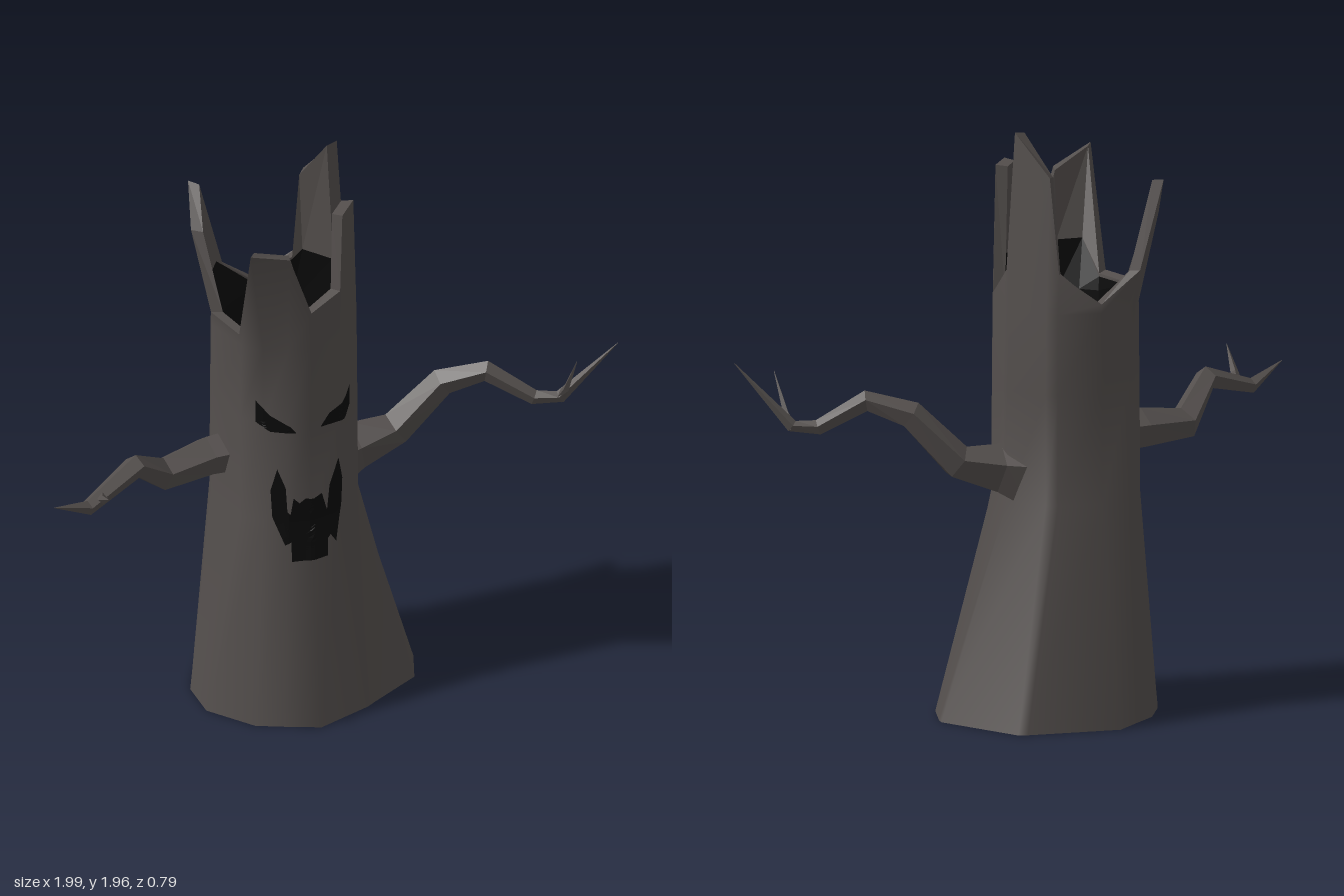
import * as THREE from 'three';

const bark = new THREE.MeshStandardMaterial({ color: 0x544f4d, side: THREE.DoubleSide });
bark.name = 'barkGrey';
const black = new THREE.MeshStandardMaterial({ color: 0x0a0a0a, side: THREE.DoubleSide });
black.name = 'hollowBlack';

const V = (x, y, z) => new THREE.Vector3(x, y, z);

// Skin between successive closed rings of points
function loft(rings, flat = false) {
  const n = rings[0].length, index = [];
  for (let r = 0; r < rings.length - 1; r++) {
    for (let i = 0; i < n; i++) {
      const j = (i + 1) % n, a = r * n, b = a + n;
      index.push(a + i, b + i, a + j, b + i, b + j, a + j);
    }
  }
  let g = new THREE.BufferGeometry().setFromPoints(rings.flat());
  g.setIndex(index);
  if (flat) g = g.toNonIndexed();
  g.computeVertexNormals();
  return g;
}

function add(group, name, geometry, material) {
  const m = new THREE.Mesh(geometry, material);
  m.name = name;
  group.add(m);
  return m;
}

// One column per entry: broken top edge (x, y, z), then root (x, z)
const COLUMNS = [
  [0.13, 1.96, -0.09, 0.38, -0.06],
  [0.15, 1.50, -0.07, 0.375, -0.03],
  [0.15, 1.40, 0.04, 0.33, 0.10],
  [0.13, 1.82, 0.065, 0.28, 0.13],
  [0.06, 1.82, 0.15, 0.15, 0.21],
  [0.045, 1.55, 0.17, 0.12, 0.23],
  [-0.07, 1.51, 0.21, -0.07, 0.305],
  [-0.16, 1.75, 0.25, -0.18, 0.26],
  [-0.31, 1.81, 0.285, -0.27, 0.22],
  [-0.285, 1.42, 0.11, -0.385, 0.07],
  [-0.32, 1.42, -0.06, -0.385, -0.08],
  [-0.345, 1.67, -0.18, -0.35, -0.16],
  [-0.32, 1.80, -0.275, -0.28, -0.27],
  [-0.24, 1.50, -0.265, -0.20, -0.33],
  [-0.10, 1.40, -0.27, -0.11, -0.40],
  [0.03, 1.50, -0.22, 0.20, -0.35],
  [0.05, 1.82, -0.19, 0.23, -0.34],
];
const CX = -0.077, CZ = -0.035;

// Point on the upper trunk in line with a column
function trunkPoint(c, y, k = 1) {
  const a = Math.atan2(c[2] - CZ, c[0] - CX);
  return V(CX + 0.245 * k * Math.cos(a), y, CZ + 0.24 * k * Math.sin(a));
}

function buildTrunk(group) {
  const ring = (f) => COLUMNS.map(f);
  const top = ring((c) => V(c[0], c[1], c[2]));
  const inner = ring((c) => {
    const d = V(CX - c[0], 0, CZ - c[2]).setLength(0.04);
    return V(c[0], c[1] - 0.005, c[2]).add(d);
  });
  const low = ring((c) => trunkPoint(c, 1.36, 0.84));
  // Inside of each splinter stays bark down to about 1.52
  const change = inner.map((p, i) => {
    const y = p.y > 1.57 ? 1.52 : p.y - 0.01;
    return p.clone().lerp(low[i], (p.y - y) / (p.y - 1.36));
  });
  const deep = ring((c) => trunkPoint(c, 1.1, 0.84));
  const floor = ring(() => V(CX, 1.1, CZ));

  const trunk = add(group, 'trunk', loft([
    ring((c) => V(c[3], 0, c[4])),
    ring((c) => trunkPoint(c, 0.73)),
    ring((c) => trunkPoint(c, 1.1, 0.99)),
    ring((c) => trunkPoint(c, 1.37, 0.98)),
    top,
  ]), bark);
  add(group, 'brokenRim', loft([top, inner], true), bark);
  add(group, 'splinterInsides', loft([inner, change], true), bark);
  add(group, 'hollow', loft([change, low, deep, floor], true), black);
  return trunk;
}

// Tapered crooked limb; each entry is x, y, z, radius
function limb(group, name, path, sides = 5) {
  const pts = path.map((p) => V(p[0], p[1], p[2]));
  const rings = pts.map((p, i) => {
    const t = pts[Math.min(i + 1, pts.length - 1)].clone().sub(pts[Math.max(i - 1, 0)]).normalize();
    const side = t.clone().cross(V(0, 1, 0)).normalize();
    const up = side.clone().cross(t);
    return Array.from({ length: sides }, (_, k) => {
      const a = (k / sides) * Math.PI * 2 + Math.PI / 2;
      return p.clone()
        .addScaledVector(side, path[i][3] * Math.cos(a))
        .addScaledVector(up, path[i][3] * Math.sin(a));
    });
  });
  return add(group, name, loft(rings, true), bark);
}

// Painted shape, finely divided and laid on the front of the trunk
function decal(group, name, outline, trunk) {
  const pts = outline.map((p) => new THREE.Vector2(p[0], p[1]));
  const ray = new THREE.Raycaster();
  const out = [];
  const lay = (p) => {
    ray.set(V(p.x, p.y, 1), V(0, 0, -1));
    const hit = ray.intersectObject(trunk)[0];
    return V(p.x, p.y, (hit ? hit.point.z : 0.15) + 0.007);
  };
  const split = (a, b, c, depth) => {
    if (depth === 0) { out.push(lay(a), lay(b), lay(c)); return; }
    const mid = (p, q) => p.clone().add(q).multiplyScalar(0.5);
    const ab = mid(a, b), bc = mid(b, c), ca = mid(c, a);
    for (const t of [[a, ab, ca], [ab, b, bc], [ca, bc, c], [ab, bc, ca]]) split(...t, depth - 1);
  };
  if (THREE.ShapeUtils.isClockWise(pts)) pts.reverse();
  for (const [a, b, c] of THREE.ShapeUtils.triangulateShape(pts, [])) split(pts[a], pts[b], pts[c], 3);
  const g = new THREE.BufferGeometry().setFromPoints(out);
  g.computeVertexNormals();
  add(group, name, g, black);
}

export function createModel() {
  const model = new THREE.Group();
  model.name = 'hauntedTree';

  const trunk = buildTrunk(model);
  trunk.updateMatrixWorld(true);

  // Branches
  limb(model, 'leftBranch', [
    [0.08, 0.81, -0.055, 0.13], [0.18, 0.83, -0.05, 0.085], [0.32, 0.865, -0.05, 0.06],
    [0.47, 1.03, -0.01, 0.048], [0.60, 1.075, 0.05, 0.036], [0.74, 0.985, 0.12, 0.026],
    [0.82, 0.99, 0.155, 0.022], [0.99, 1.20, 0.235, 0.001],
  ]);
  limb(model, 'leftTwig', [[0.815, 0.98, 0.15, 0.018], [0.83, 1.03, 0.18, 0.012], [0.845, 1.16, 0.24, 0.001]], 4);
  limb(model, 'rightBranch', [
    [-0.22, 0.91, -0.03, 0.075], [-0.35, 0.91, -0.02, 0.068], [-0.53, 0.90, 0.03, 0.055],
    [-0.66, 1.015, 0.14, 0.04], [-0.86, 0.95, 0.235, 0.026], [-1.0, 1.01, 0.295, 0.001],
  ]);
  limb(model, 'rightTwig', [[-0.80, 0.965, 0.21, 0.02], [-0.82, 0.99, 0.27, 0.014], [-0.845, 1.06, 0.39, 0.001]], 4);

  // Face
  decal(model, 'rightEye', [
    [-0.24, 1.18], [-0.24, 1.10], [-0.20, 1.07], [-0.12, 1.065], [-0.14, 1.09], [-0.20, 1.13],
  ], trunk);
  decal(model, 'leftEye', [
    [0.09, 1.17], [0.09, 1.10], [0.06, 1.065], [-0.035, 1.07], [0, 1.11], [0.05, 1.13],
  ], trunk);
  decal(model, 'mouth', [
    [-0.18, 0.93], [-0.155, 0.86], [-0.15, 0.77], [-0.14, 0.76], [-0.13, 0.82], [-0.11, 0.80],
    [-0.09, 0.815], [-0.06, 0.81], [-0.03, 0.82], [-0.01, 0.75], [0, 0.84], [0.035, 0.93],
    [0.05, 0.85], [0.045, 0.75], [0.02, 0.63], [0, 0.66], [-0.01, 0.65], [-0.015, 0.59],
    [-0.14, 0.59], [-0.14, 0.66], [-0.16, 0.65], [-0.195, 0.75], [-0.2, 0.85],
  ], trunk);

  return model;
}
